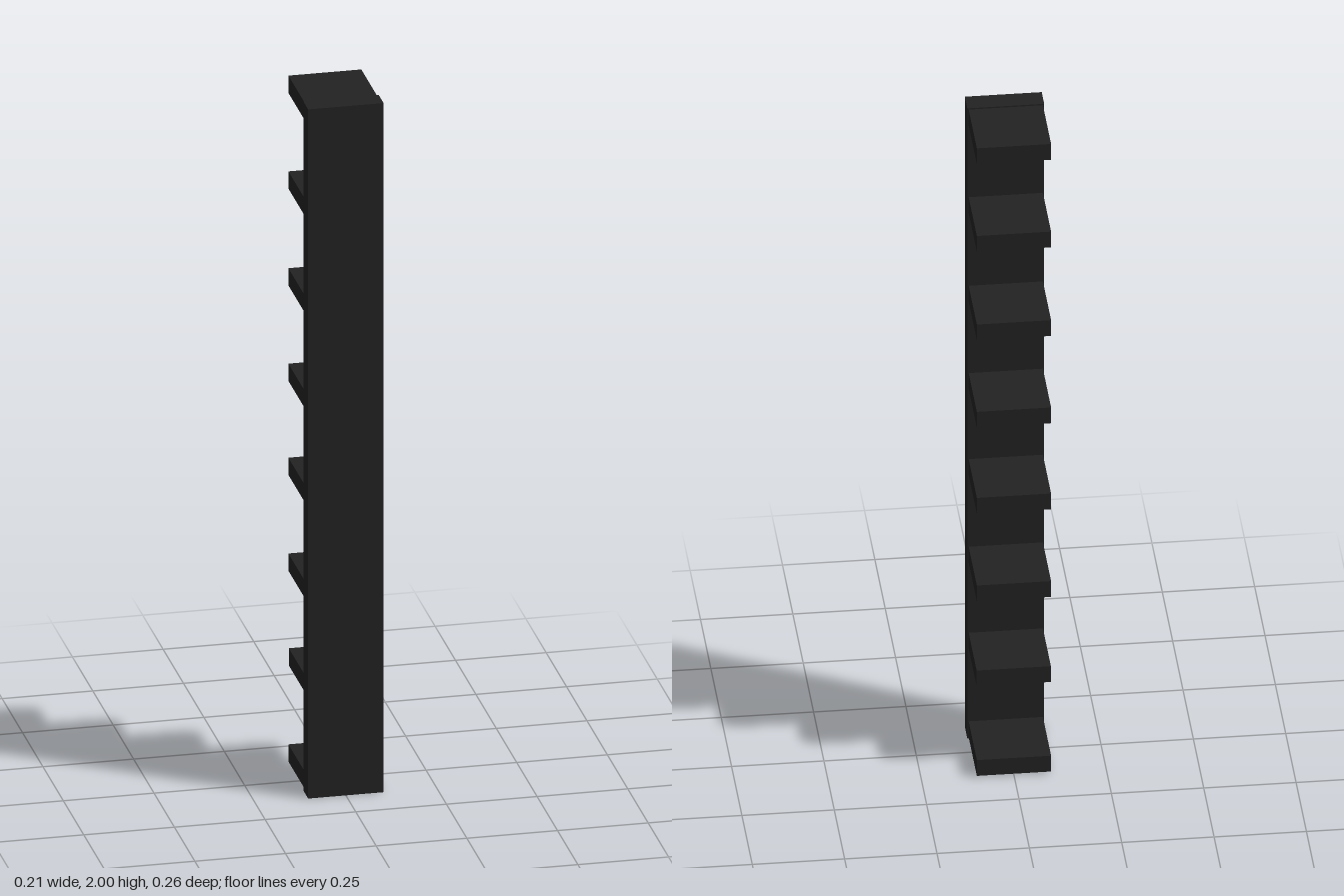
import * as THREE from 'three';

export function createModel() {
  const group = new THREE.Group();
  const material = new THREE.MeshStandardMaterial({ color: 0x222222 });

  function box(name, width, height, depth, x, y, z) {
    const mesh = new THREE.Mesh(new THREE.BoxGeometry(width, height, depth), material);
    mesh.name = name;
    mesh.position.set(x, y, z);
    group.add(mesh);
  }

  // Tall upright panel along the front
  const panelBack = 0.069;
  const panelFront = 0.129;
  box('uprightPanel', 0.208, 2, panelFront - panelBack, 0, 1, (panelFront + panelBack) / 2);

  // Square shelves reaching back from the panel, slightly unevenly spaced
  const shelfHeights = [0.03, 0.311, 0.584, 0.862, 1.135, 1.412, 1.693, 1.971];
  shelfHeights.forEach((y, i) => {
    const shelfBack = i === 1 ? -0.124 : -0.129;
    box(`shelf${i + 1}`, 0.201, 0.05, panelBack - shelfBack, 0, y, (panelBack + shelfBack) / 2);
  });

  return group;
}
